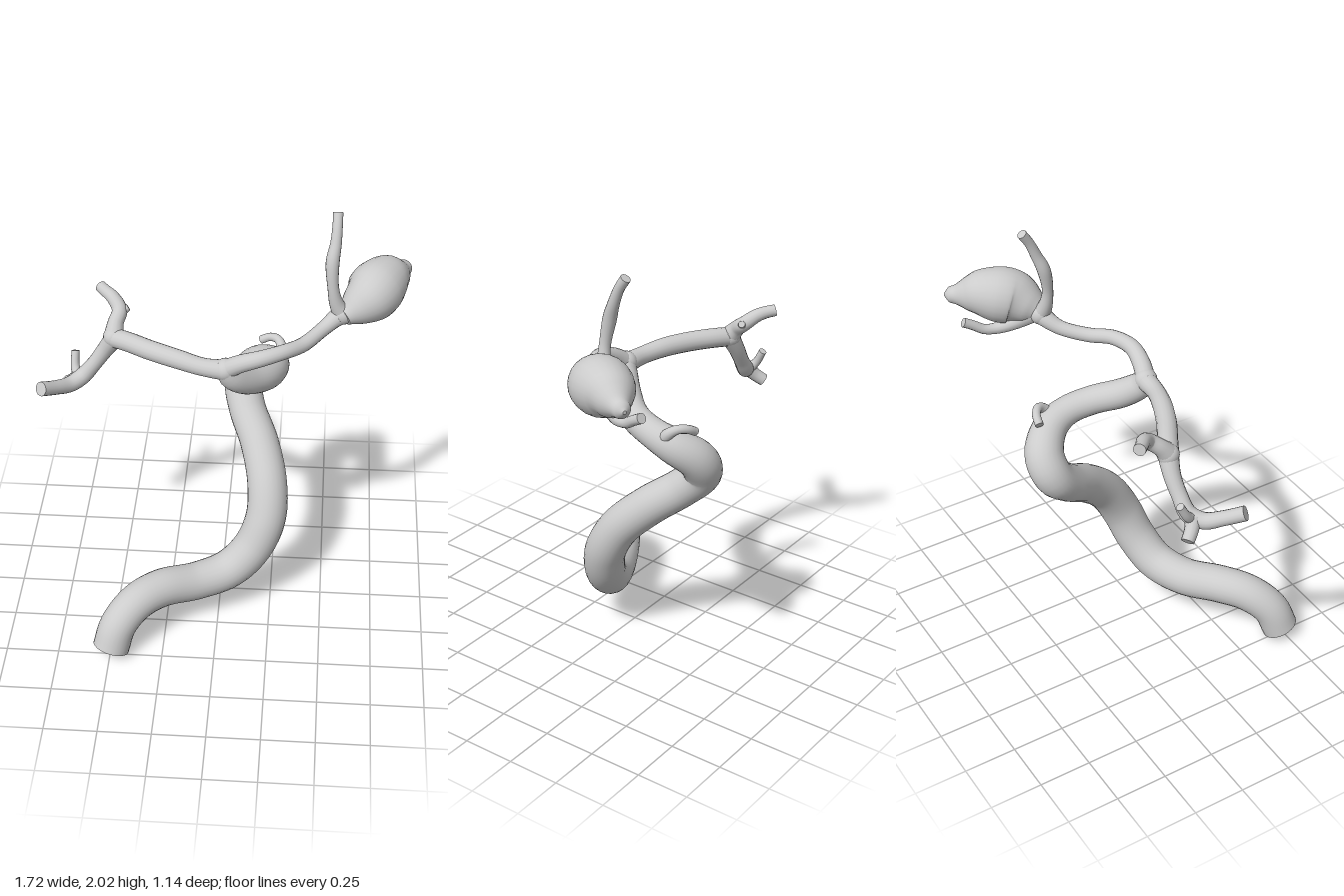
import * as THREE from 'three';

const material = new THREE.MeshStandardMaterial({ color: 0xcccccc });

// Tube through stations [x, y, z, radius], smooth along its length, with flat ends.
function vesselGeometry(stations, rings, sides) {
  const path = new THREE.CatmullRomCurve3(stations.map(([x, y, z]) => new THREE.Vector3(x, y, z)));
  const radii = new THREE.SplineCurve(stations.map((s, i) => new THREE.Vector2(i, s[3])));
  const { normals, binormals } = path.computeFrenetFrames(rings, false);
  const pos = [], index = [];

  for (let i = 0; i <= rings; i++) {
    const t = path.getUtoTmapping(i / rings);
    const p = path.getPoint(t);
    const r = radii.getPoint(t).y;
    for (let j = 0; j < sides; j++) {
      const a = (j / sides) * Math.PI * 2;
      const v = p.clone()
        .addScaledVector(normals[i], r * Math.cos(a))
        .addScaledVector(binormals[i], r * Math.sin(a));
      pos.push(v.x, v.y, v.z);
    }
  }
  for (let i = 0; i < rings; i++) {
    for (let j = 0; j < sides; j++) {
      const k = (j + 1) % sides;
      const a = i * sides + j, d = i * sides + k;
      index.push(a, d, d + sides, a, d + sides, a + sides);
    }
  }
  // flat caps on their own vertices keep the rims sharp
  for (const end of [0, rings]) {
    const base = pos.length / 3;
    const ring = pos.slice(end * sides * 3, (end + 1) * sides * 3);
    pos.push(...ring, ...path.getPoint(end / rings).toArray());
    for (let j = 0; j < sides; j++) {
      const k = (j + 1) % sides;
      if (end) index.push(base + sides, base + j, base + k);
      else index.push(base + sides, base + k, base + j);
    }
  }
  const g = new THREE.BufferGeometry();
  g.setAttribute('position', new THREE.Float32BufferAttribute(pos, 3));
  g.setIndex(index);
  g.computeVertexNormals();
  return g;
}

export function createModel() {
  const model = new THREE.Group();

  const vessel = (name, stations, rings = 24, sides = 16) => {
    const mesh = new THREE.Mesh(vesselGeometry(stations, rings, sides), material);
    mesh.name = name;
    model.add(mesh);
  };
  // rounded blend where vessels meet
  const joint = (name, x, y, z, r) => {
    const mesh = new THREE.Mesh(new THREE.SphereGeometry(r, 20, 14), material);
    mesh.name = name;
    mesh.position.set(x, y, z);
    model.add(mesh);
  };

  // main artery, winding up from the base to the fork
  vessel('mainArtery', [
    [-0.495, 0.018, 0.49, 0.088],
    [-0.46, 0.13, 0.45, 0.088],
    [-0.38, 0.205, 0.37, 0.09],
    [-0.27, 0.22, 0.28, 0.092],
    [-0.1, 0.19, 0.18, 0.092],
    [0.05, 0.215, 0.11, 0.095],
    [0.16, 0.32, 0.06, 0.097],
    [0.22, 0.47, 0.01, 0.098],
    [0.22, 0.62, -0.075, 0.096],
    [0.175, 0.755, -0.21, 0.093],
    [0.105, 0.865, -0.35, 0.09],
    [0.085, 0.955, -0.435, 0.092],
    [0.14, 1.045, -0.445, 0.092],
    [0.215, 1.12, -0.37, 0.082],
    [0.235, 1.165, -0.27, 0.07],
    [0.205, 1.2, -0.15, 0.068],
    [0.12, 1.25, -0.04, 0.068],
    [0.055, 1.31, 0.02, 0.062],
    [0.025, 1.36, 0.035, 0.05],
  ], 110, 24);
  joint('mainFork', 0.025, 1.355, 0.033, 0.053);

  // small hooked twig at the bend of the main artery
  vessel('hookedTwig', [
    [0.25, 1.14, -0.33, 0.035],
    [0.265, 1.2, -0.375, 0.026],
    [0.25, 1.225, -0.41, 0.021],
    [0.21, 1.22, -0.44, 0.02],
    [0.165, 1.195, -0.45, 0.02],
  ], 18, 12);

  // left side: branch, sac and two twigs
  vessel('leftBranch', [
    [0.025, 1.355, 0.033, 0.045],
    [0.09, 1.4, 0.05, 0.042],
    [0.18, 1.435, 0.055, 0.038],
    [0.28, 1.448, 0.015, 0.035],
    [0.37, 1.44, -0.065, 0.034],
    [0.46, 1.465, -0.165, 0.034],
    [0.52, 1.5, -0.21, 0.042],
    [0.57, 1.525, -0.23, 0.05],
  ], 40);
  joint('leftFork', 0.545, 1.515, -0.22, 0.052);
  vessel('leftSac', [
    [0.55, 1.51, -0.2, 0.045],
    [0.605, 1.535, -0.24, 0.088],
    [0.665, 1.565, -0.29, 0.124],
    [0.7, 1.58, -0.35, 0.131],
    [0.745, 1.588, -0.42, 0.112],
    [0.785, 1.58, -0.475, 0.08],
    [0.815, 1.575, -0.52, 0.047],
    [0.832, 1.575, -0.548, 0.036],
    [0.843, 1.575, -0.566, 0.008],
  ], 44, 24);
  vessel('leftUpperTwig', [
    [0.545, 1.51, -0.22, 0.045],
    [0.515, 1.57, -0.21, 0.034],
    [0.495, 1.66, -0.205, 0.026],
    [0.487, 1.78, -0.225, 0.031],
    [0.498, 1.86, -0.255, 0.026],
    [0.502, 1.93, -0.285, 0.023],
    [0.502, 1.985, -0.32, 0.023],
  ], 36);
  vessel('leftLowerTwig', [
    [0.575, 1.51, -0.24, 0.045],
    [0.625, 1.455, -0.32, 0.034],
    [0.66, 1.43, -0.39, 0.028],
    [0.675, 1.435, -0.45, 0.024],
    [0.69, 1.465, -0.5, 0.023],
    [0.7, 1.49, -0.545, 0.023],
  ], 24, 12);

  // right side: branch, upper limb and lower limb with their stubs
  vessel('rightBranch', [
    [0.03, 1.35, 0.033, 0.048],
    [-0.08, 1.355, 0.02, 0.042],
    [-0.2, 1.365, -0.02, 0.045],
    [-0.33, 1.366, -0.08, 0.046],
    [-0.44, 1.363, -0.145, 0.046],
    [-0.52, 1.355, -0.19, 0.046],
  ], 36);
  joint('rightFork', -0.51, 1.36, -0.187, 0.05);
  vessel('rightUpperLimb', [
    [-0.51, 1.36, -0.185, 0.048],
    [-0.505, 1.41, -0.225, 0.038],
    [-0.49, 1.45, -0.275, 0.036],
    [-0.525, 1.49, -0.32, 0.032],
    [-0.56, 1.503, -0.35, 0.029],
    [-0.59, 1.51, -0.38, 0.028],
  ], 26, 14);
  vessel('rightUpperStub', [
    [-0.5, 1.43, -0.26, 0.03],
    [-0.475, 1.448, -0.275, 0.024],
    [-0.45, 1.462, -0.285, 0.016],
  ], 8, 12);
  vessel('rightLowerLimb', [
    [-0.505, 1.36, -0.185, 0.046],
    [-0.555, 1.28, -0.195, 0.039],
    [-0.61, 1.2, -0.19, 0.036],
    [-0.665, 1.135, -0.18, 0.04],
    [-0.72, 1.115, -0.135, 0.038],
    [-0.775, 1.14, -0.07, 0.034],
    [-0.835, 1.178, 0.0, 0.034],
  ], 40);
  vessel('rightRisingStub', [
    [-0.685, 1.12, -0.175, 0.028],
    [-0.705, 1.165, -0.215, 0.021],
    [-0.705, 1.23, -0.25, 0.019],
  ], 12, 12);
  vessel('rightHangingStub', [
    [-0.69, 1.13, -0.17, 0.036],
    [-0.72, 1.09, -0.2, 0.032],
    [-0.745, 1.06, -0.235, 0.03],
  ], 12, 12);

  return model;
}
